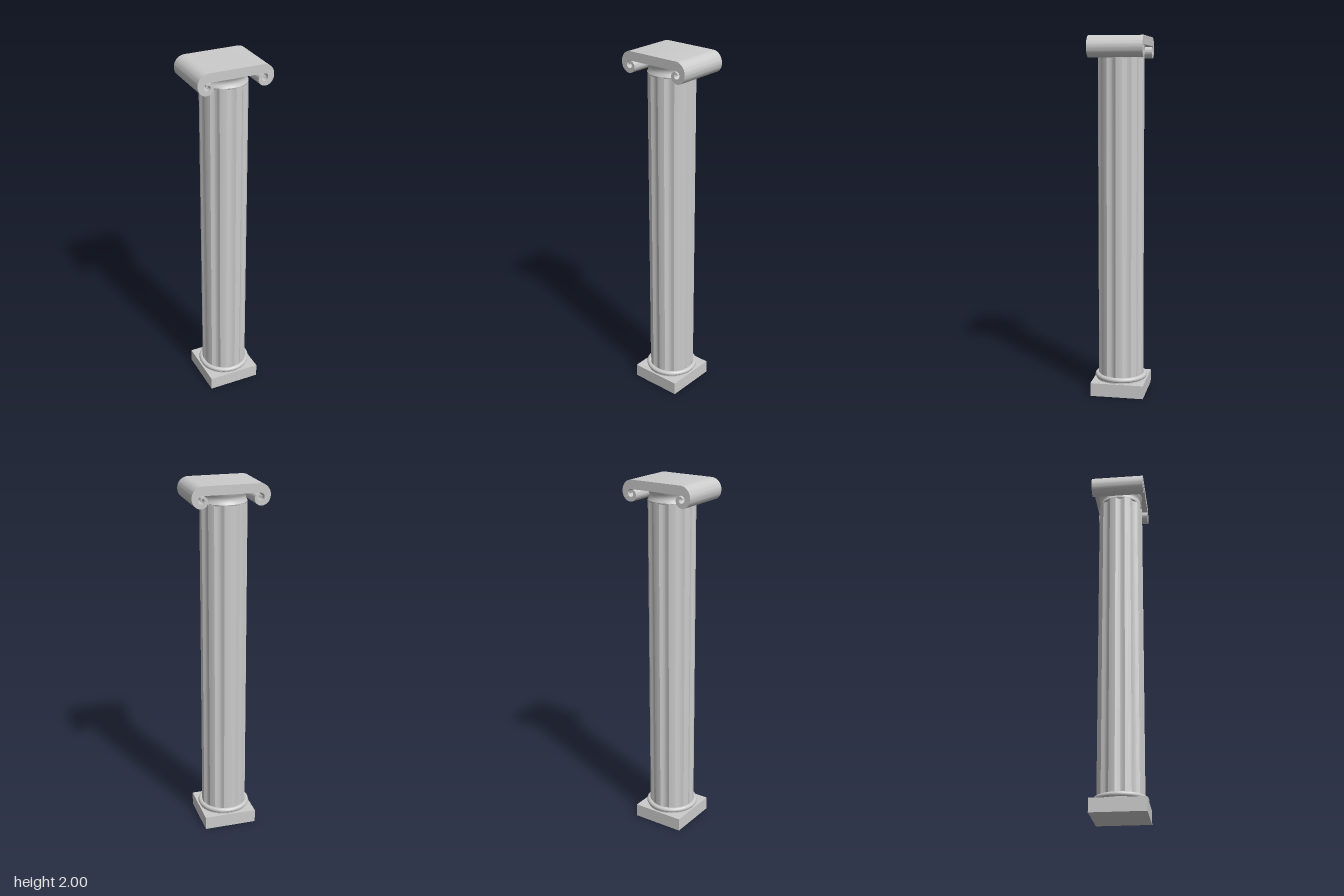
import * as THREE from 'three';
import { toCreasedNormals } from 'three/addons/utils/BufferGeometryUtils.js';

const grey = () => new THREE.MeshStandardMaterial({ color: 0xcccccc });

function addPart(group, name, geometry) {
  const mesh = new THREE.Mesh(geometry, grey());
  mesh.name = name;
  group.add(mesh);
  return mesh;
}

// Linear-in-angle lookup through radii spaced a quarter turn apart, smoothed.
function spiralRadius(radii, turn) {
  const i = Math.min(Math.floor(turn), radii.length - 2);
  const at = (k) => radii[Math.max(0, Math.min(radii.length - 1, k))];
  const t = turn - i;
  const m0 = (at(i + 1) - at(i - 1)) / 2, m1 = (at(i + 2) - at(i)) / 2;
  return (2 * t ** 3 - 3 * t * t + 1) * at(i) + (t ** 3 - 2 * t * t + t) * m0
    + (3 * t * t - 2 * t ** 3) * at(i + 1) + (t ** 3 - t * t) * m1;
}

// Slab whose two ends curl under into scrolls.
function scrollCapital() {
  const cx = 0.155, cy = 1.93, steps = 60, turns = 5;
  const outer = [0.07, 0.055, 0.045, 0.03, 0.014, 0.01];
  const inner = [0.021, 0.022, 0.02, 0.012, 0.005, 0.001];
  const point = (radii, i) => {
    const turn = (i / steps) * turns, a = turn * Math.PI / 2;
    const r = spiralRadius(radii, turn);
    return new THREE.Vector2(cx + r * Math.sin(a), cy + r * Math.cos(a));
  };
  const half = [];
  for (let i = 0; i <= steps; i++) half.push(point(outer, i));
  for (let i = steps; i >= 0; i--) half.push(point(inner, i));
  const mirrored = half.map((p) => new THREE.Vector2(-p.x, p.y)).reverse();
  const geo = new THREE.ExtrudeGeometry(new THREE.Shape([...half, ...mirrored]),
    { depth: 0.3, bevelEnabled: false });
  geo.translate(0, 0, -0.15);
  return toCreasedNormals(geo, 0.6);
}

// Column with nine hollow flutes separated by narrow fillets.
function flutedShaft(bottom, top) {
  const R = 0.128, flutes = 9, depth = 0.011, first = 14;
  const deg = Math.PI / 180, fillet = 16, flute = 360 / flutes - fillet;
  const pts = [];
  const add = (angle, r) => pts.push(
    new THREE.Vector2(r * Math.sin(angle * deg), -r * Math.cos(angle * deg)));
  for (let k = 0; k < flutes; k++) {
    const start = first - fillet / 2 + k * (fillet + flute);
    for (let i = 0; i < 4; i++) add(start + fillet * i / 4, R);
    for (let i = 0; i < 10; i++) {
      add(start + fillet + flute * i / 10, R - depth * Math.sin(Math.PI * i / 10));
    }
  }
  const geo = new THREE.ExtrudeGeometry(new THREE.Shape(pts),
    { depth: top - bottom, bevelEnabled: false });
  geo.rotateX(-Math.PI / 2);
  geo.translate(0, bottom, 0);
  return toCreasedNormals(geo, 0.4);
}

function lathe(profile) {
  const pts = profile.map(([r, y]) => new THREE.Vector2(r, y));
  return toCreasedNormals(new THREE.LatheGeometry(pts, 64), 0.6);
}

export function createModel() {
  const column = new THREE.Group();
  column.name = 'column';

  // Square foot
  const plinth = addPart(column, 'plinth', new THREE.BoxGeometry(0.3, 0.075, 0.3));
  plinth.position.y = 0.0375;

  // Round moulding on the foot
  addPart(column, 'baseDisc', lathe([[0, 0.07], [0.14, 0.07], [0.14, 0.086], [0, 0.086]]));
  const ring = addPart(column, 'baseRing',
    new THREE.TorusGeometry(0.134, 0.014, 16, 64).rotateX(Math.PI / 2));
  ring.position.y = 0.094;

  addPart(column, 'shaft', flutedShaft(0.085, 1.89));

  // Round neck between shaft and scrolls
  addPart(column, 'neck', lathe([[0, 1.885], [0.126, 1.885], [0.128, 1.892], [0.124, 1.9],
    [0.119, 1.91], [0.118, 1.92], [0.121, 1.932], [0.128, 1.942], [0.13, 1.952], [0, 1.952]]));

  addPart(column, 'scrollCapital', scrollCapital());
  return column;
}
